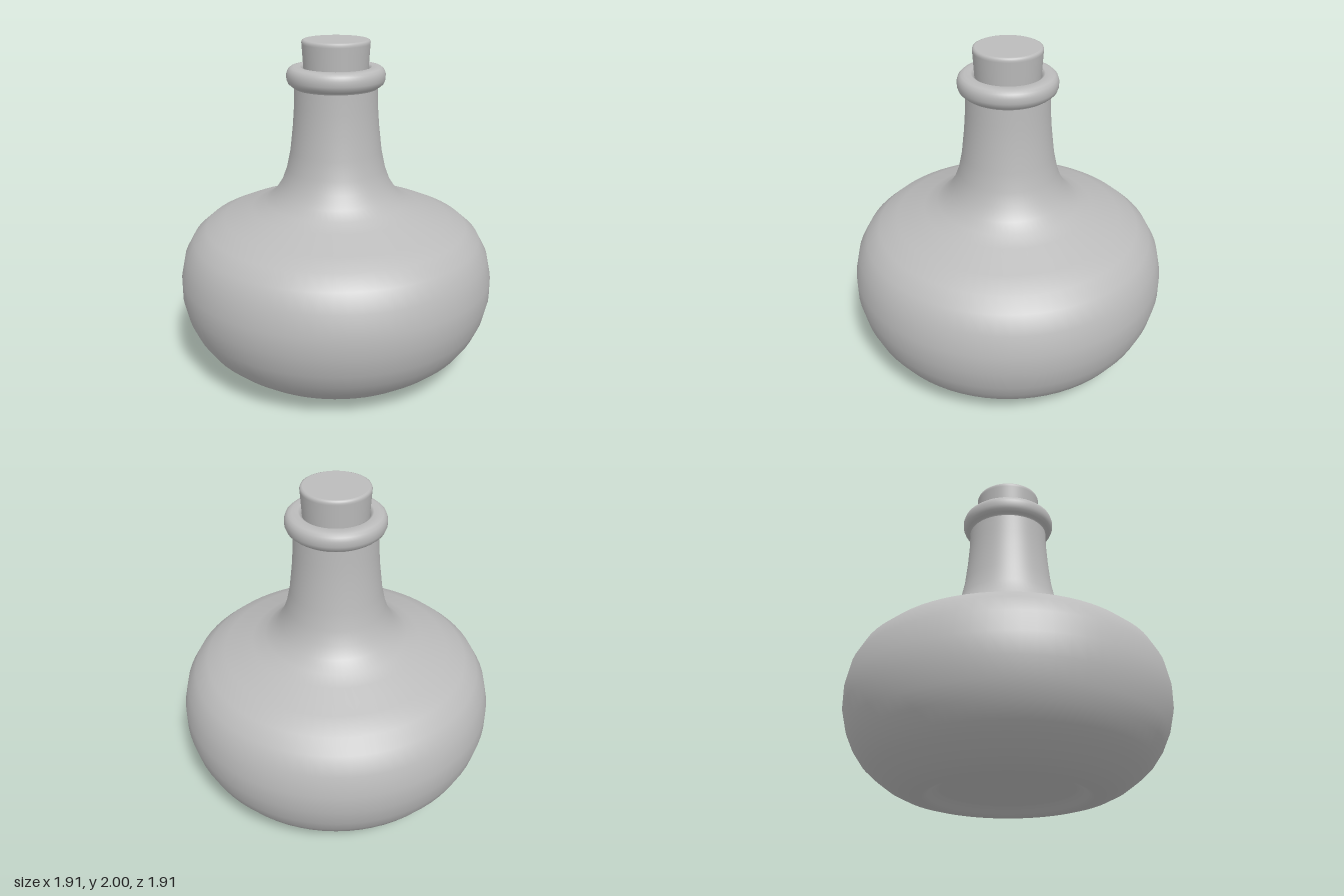
import * as THREE from 'three';

const SEGMENTS = 72;

// Revolve a list of [radius, height] pairs, listed from bottom to top outside
function turned(name, profile, material) {
  const points = profile.map(([r, y]) => new THREE.Vector2(r, y));
  const mesh = new THREE.Mesh(new THREE.LatheGeometry(points, SEGMENTS), material);
  mesh.name = name;
  return mesh;
}

export function createModel() {
  const group = new THREE.Group();
  group.name = 'bottle';
  const grey = new THREE.MeshStandardMaterial({ color: 0xbbbbbb });
  grey.name = 'plain grey';

  // Squat body with a recessed base, sweeping up into the neck
  group.add(turned('bodyAndNeck', [
    [0, 0.05], [0.38, 0.05], [0.41, 0.045], [0.45, 0.015], [0.48, 0.002], [0.51, 0],
    [0.55, 0.008], [0.61, 0.025], [0.69, 0.065], [0.77, 0.125], [0.83, 0.18],
    [0.885, 0.26], [0.925, 0.35], [0.953, 0.47], [0.953, 0.59], [0.925, 0.72],
    [0.87, 0.82], [0.79, 0.89], [0.68, 0.94], [0.51, 1.0], [0.43, 1.04],
    [0.37, 1.09], [0.325, 1.16], [0.295, 1.24], [0.272, 1.35], [0.255, 1.5],
    [0.246, 1.62], [0.243, 1.74],
  ], grey));

  // Rounded lip around the mouth
  group.add(turned('lip', [
    [0.242, 1.72], [0.247, 1.732], [0.264, 1.738], [0.279, 1.752], [0.288, 1.775],
    [0.288, 1.805], [0.28, 1.828], [0.265, 1.842], [0.245, 1.847], [0.21, 1.847],
    [0.195, 1.838], [0.188, 1.81], [0.188, 1.74],
  ], grey));

  // Tapered stopper with a small bevel and a flat top
  group.add(turned('stopper', [
    [0, 1.7], [0.178, 1.7], [0.18, 1.702], [0.19, 1.85], [0.198, 1.975],
    [0.199, 1.985], [0.195, 1.996], [0.186, 2], [0.184, 2], [0, 2],
  ], grey));

  return group;
}
